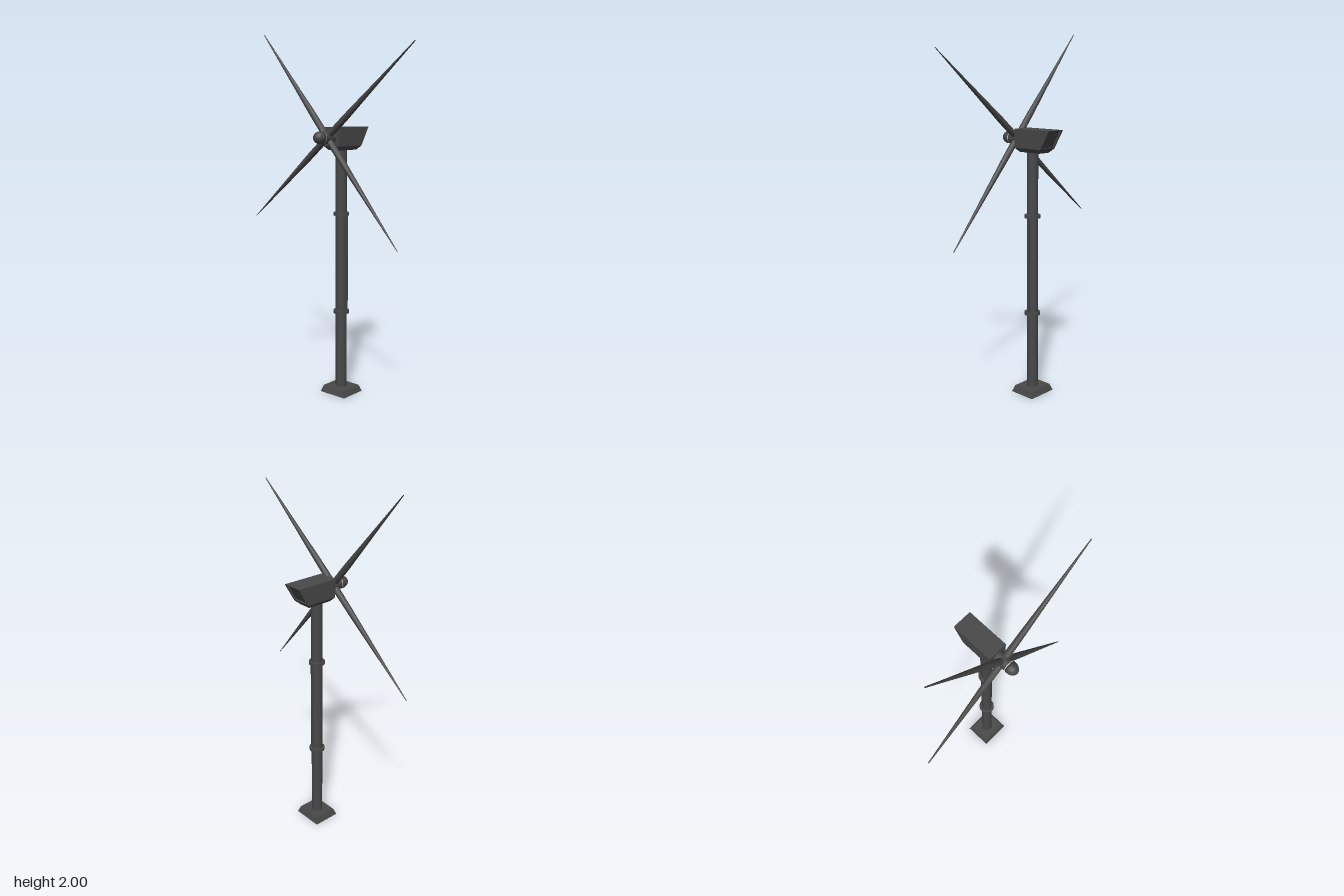
import * as THREE from 'three';

const dark = new THREE.MeshStandardMaterial({ color: 0x484848 });
const darkFlat = new THREE.MeshStandardMaterial({ color: 0x484848, flatShading: true });
const pale = new THREE.MeshStandardMaterial({ color: 0xcccccc });
const AXIS_X = -0.002, AXIS_Z = -0.024, HUB_Y = 1.44;

function add(parent, name, geometry, material, x = 0, y = 0, z = 0) {
  const mesh = new THREE.Mesh(geometry, material);
  mesh.name = name;
  mesh.position.set(x, y, z);
  parent.add(mesh);
  return mesh;
}

// Rectangle of four corners at height y, counter-clockwise seen from above
const rect = (y, hw, front, back) =>
  [[-hw, front], [hw, front], [hw, back], [-hw, back]].map(([x, z]) => new THREE.Vector3(x, y, z));

// Flat-faced solid from stacked rectangles (bottom to top); side 2 of the top band may be recessed
function stackedSolid(rings, recess = 0) {
  const pos = [];
  const quad = (a, b, c, d) => [a, b, c, a, c, d].forEach((p) => pos.push(p.x, p.y, p.z));
  const last = rings.length - 1;
  for (let k = 0; k < last; k++) {
    for (let i = 0; i < 4; i++) {
      const j = (i + 1) % 4;
      const face = [rings[k][i], rings[k][j], rings[k + 1][j], rings[k + 1][i]];
      if (!(recess && k === last - 1 && i === 2)) { quad(...face); continue; }
      const centre = face.reduce((s, p) => s.add(p), new THREE.Vector3()).multiplyScalar(0.25);
      const inner = face.map((p) => p.clone().lerp(centre, 0.15));
      const deep = inner.map((p) => p.clone().add(new THREE.Vector3(0, 0, recess)));
      for (let e = 0; e < 4; e++) {
        const f = (e + 1) % 4;
        quad(face[e], face[f], inner[f], inner[e]);
        quad(inner[e], inner[f], deep[f], deep[e]);
      }
      quad(...deep);
    }
  }
  quad(...rings[last]);
  quad(...[...rings[0]].reverse());
  const g = new THREE.BufferGeometry();
  g.setAttribute('position', new THREE.Float32BufferAttribute(pos, 3));
  g.computeVertexNormals();
  return g;
}

// Slender blade along +y: round root, flattening and twisting to a fine tip
function bladeGeometry() {
  const g = new THREE.CylinderGeometry(1, 1, 1, 12, 20);
  const p = g.attributes.position;
  for (let i = 0; i < p.count; i++) {
    const t = p.getY(i) + 0.5;
    const swell = 0.015 + 0.005 * Math.min(1, t / 0.2);
    const chord = swell * (1 - t) + 0.0015;
    const depth = 0.017 * (1 - t) + 0.003;
    const x = p.getX(i) * chord, z = p.getZ(i) * depth;
    const a = 0.35 * t;
    p.setXYZ(i, x * Math.cos(a) - z * Math.sin(a), 0.02 + t * 0.71, x * Math.sin(a) + z * Math.cos(a));
  }
  g.computeVertexNormals();
  return g;
}

export function createModel() {
  const model = new THREE.Group();
  model.name = 'windTurbine';

  // Tapered foot
  add(model, 'base', stackedSolid([rect(0, 0.087, 0.078, -0.078), rect(0.036, 0.074, 0.065, -0.065)]),
    darkFlat, AXIS_X, 0, AXIS_Z);

  // Tower with two collars and a thin conduit between them
  add(model, 'tower', new THREE.CylinderGeometry(0.031, 0.031, 1.35, 20), dark, AXIS_X, 0.705, AXIS_Z);
  for (const y of [0.468, 1.02])
    add(model, 'collar', new THREE.CylinderGeometry(0.044, 0.044, 0.017, 20), dark, AXIS_X, y, AXIS_Z);
  add(model, 'conduit', new THREE.CylinderGeometry(0.004, 0.004, 0.552, 8), dark, AXIS_X + 0.036, 0.744, AXIS_Z - 0.008);

  // Nacelle: chamfered underside, raked back with a recessed panel
  add(model, 'nacelle', stackedSolid([
    rect(1.37, 0.036, 0.036, -0.106),
    rect(1.392, 0.055, 0.057, -0.13),
    rect(1.494, 0.056, 0.057, -0.19),
  ], 0.012), darkFlat, AXIS_X);

  // Rotor: hub, pale band, nose and four blades
  const rotor = new THREE.Group();
  rotor.name = 'rotor';
  rotor.position.set(-0.001, HUB_Y, 0.092);
  model.add(rotor);
  add(rotor, 'hub', new THREE.CylinderGeometry(0.033, 0.033, 0.077, 20), dark, 0, 0, -0.0005).rotation.x = Math.PI / 2;
  add(rotor, 'hubBand', new THREE.CylinderGeometry(0.032, 0.032, 0.008, 20), pale, 0, 0, 0.041).rotation.x = Math.PI / 2;

  const nose = [new THREE.Vector2(0, 0), new THREE.Vector2(0.034, 0)];
  for (let i = 0; i <= 8; i++) {
    const a = (i / 8) * Math.PI / 2;
    nose.push(new THREE.Vector2(0.034 * Math.cos(a), 0.012 + 0.041 * Math.sin(a)));
  }
  add(rotor, 'noseCone', new THREE.LatheGeometry(nose, 20), dark, 0, 0, 0.044).rotation.x = Math.PI / 2;

  const blade = bladeGeometry();
  for (let i = 0; i < 4; i++)
    add(rotor, 'blade', blade, dark).rotation.z = THREE.MathUtils.degToRad(40 + i * 90);
  return model;
}
